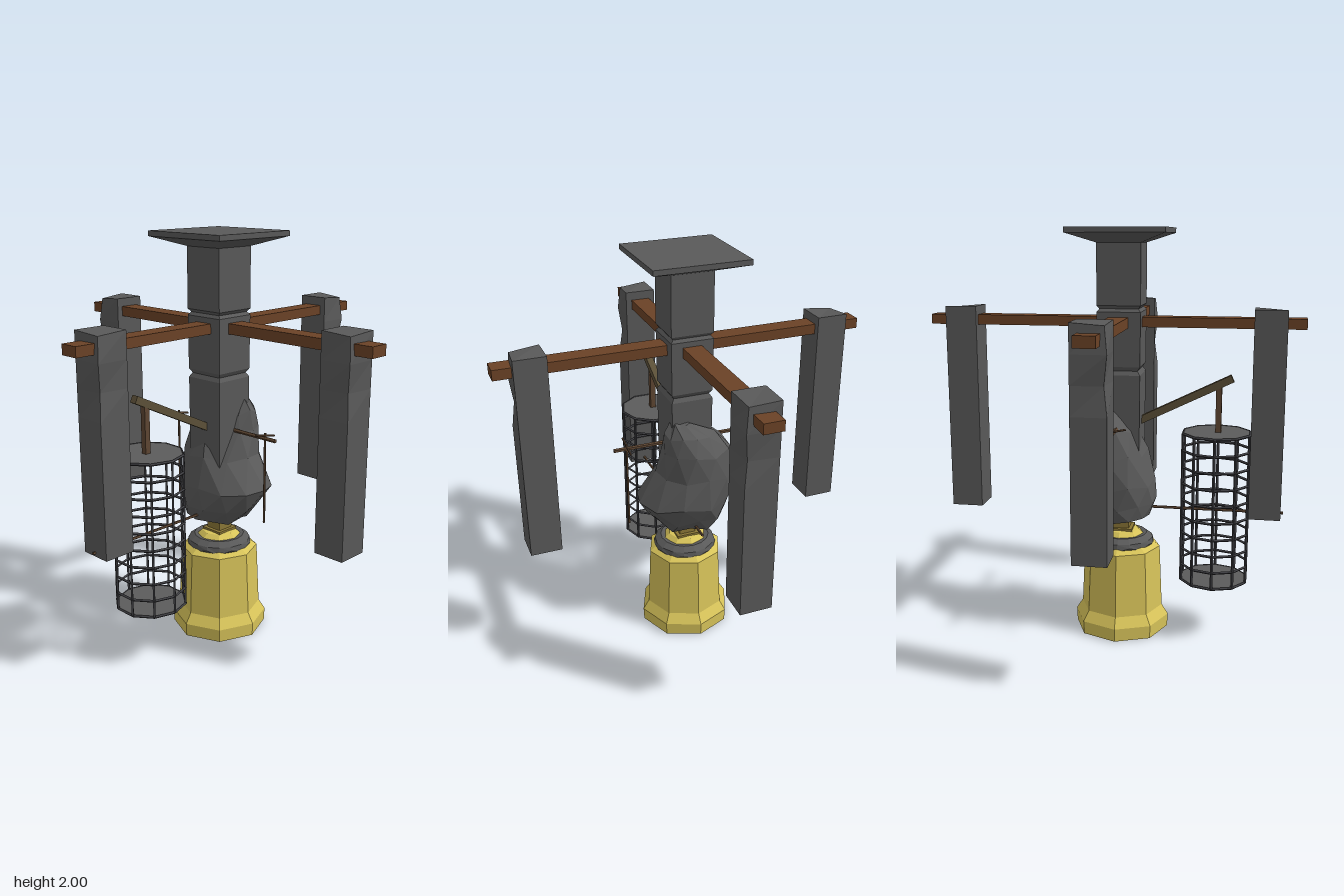
import * as THREE from 'three';

const mat = (color) => new THREE.MeshStandardMaterial({ color, flatShading: true, side: THREE.DoubleSide });
const stone = mat(0x595959), rockMat = mat(0x5a5a5a), iron = mat(0x3c3c40), plate = mat(0x5c5c5c);
const wood = mat(0x6b4226), oldWood = mat(0x5c5038), twig = mat(0x5e4632);
const brass = mat(0xd8c45a), darkBrass = mat(0x8a7636), green = mat(0x4caa14);
const AX = -0.005, AZ = 0.035; // central axis

export function createModel() {
  const model = new THREE.Group();

  const add = (name, geo, material, x = 0, y = 0, z = 0, parent = model) => {
    const m = new THREE.Mesh(geo, material);
    m.name = name;
    m.position.set(x, y, z);
    parent.add(m);
    return m;
  };
  const box = (name, w, h, d, material, x, y, z, parent) =>
    add(name, new THREE.BoxGeometry(w, h, d), material, x, y, z, parent);
  const lathe = (pts, sides, phi = 0) =>
    new THREE.LatheGeometry(pts.map(([r, y]) => new THREE.Vector2(r, y)), sides, phi);
  // straight bar between two points
  const bar = (name, a, b, r, material, parent, sides = 5) => {
    const A = new THREE.Vector3(...a), B = new THREE.Vector3(...b), dir = B.clone().sub(A);
    const m = add(name, new THREE.CylinderGeometry(r, r, dir.length(), sides), material, 0, 0, 0, parent);
    m.position.copy(A).add(B).multiplyScalar(0.5);
    m.quaternion.setFromUnitVectors(new THREE.Vector3(0, 1, 0), dir.normalize());
    return m;
  };

  // square post with grooves and a flared cap, profile given as half widths
  const postProfile = [
    [0, 0.75], [0.1, 0.75], [0.103, 1.31], [0.09, 1.33], [0.103, 1.35], [0.105, 1.61],
    [0.093, 1.625], [0.105, 1.64], [0.105, 1.93], [0.232, 1.975], [0.232, 2], [0, 2],
  ].map(([h, y]) => [h * Math.SQRT2, y]);
  add('post', lathe(postProfile, 4, Math.PI / 4), stone, AX, 0, AZ);

  // crossed beams
  box('crossBeamSide', 1.82, 0.05, 0.094, wood, 0, 1.56, 0.033);
  box('crossBeamFront', 0.094, 0.048, 1.82, wood, -0.003, 1.56, 0);

  // hanging stone pillars, each with one chipped corner
  const chippedPillar = (sx, sz) => {
    const g = new THREE.BoxGeometry(0.154, 1.01, 0.154, 1, 8, 1), p = g.attributes.position;
    for (let i = 0; i < p.count; i++) {
      const x = p.getX(i), y = p.getY(i), z = p.getZ(i);
      if (x * sx > 0 && z * sz > 0 && y > 0.2 && y < 0.3) p.setXYZ(i, x - sx * 0.015, y, z - sz * 0.015);
      if (x * sx > 0 && z * sz > 0 && y > 0.5) p.setXYZ(i, x - sx * 0.012, y - 0.012, z - sz * 0.012);
    }
    return g;
  };
  [[0.745, 0.032, 1, 1], [-0.75, 0.032, -1, 1], [-0.003, 0.745, 1, 1], [-0.003, -0.75, 1, -1]]
    .forEach(([x, z, sx, sz]) => add('pillar', chippedPillar(sx, sz), stone, x, 1.122, z));

  // faceted boulder around the post: y, centre x, centre z, radius x, radius z
  const rings = [
    [0.6, -0.03, 0.04, 0.16, 0.14], [0.67, -0.01, 0.02, 0.21, 0.19], [0.77, 0.015, 0.01, 0.24, 0.2],
    [0.92, -0.045, -0.02, 0.205, 0.185], [1.05, -0.03, -0.04, 0.17, 0.15],
    [1.14, 0.0, -0.055, 0.125, 0.095], [1.195, 0.05, -0.05, 0.05, 0.04],
  ];
  const N = 11, verts = [], faces = [];
  const wobble = (i, j) => Math.sin(i * 12.9 + j * 78.2) * 0.06;
  rings.forEach(([y, cx, cz, rx, rz], j) => {
    for (let i = 0; i < N; i++) {
      const a = ((i + (j % 2) / 2) / N) * Math.PI * 2, k = 1 + wobble(i, j);
      verts.push(cx + Math.sin(a) * rx * k, y + wobble(j, i) * 0.25, cz + Math.cos(a) * rz * k);
    }
  });
  for (let j = 0; j < rings.length - 1; j++) {
    for (let i = 0; i < N; i++) {
      const n = (i + 1) % N, a = j * N + i, b = j * N + n, c = a + N, d = b + N;
      if (j % 2) faces.push(a, b, d, a, d, c);
      else faces.push(a, b, c, b, d, c);
    }
  }
  const last = (rings.length - 1) * N;
  for (let i = 1; i < N - 1; i++) faces.push(0, i + 1, i, last, last + i, last + i + 1);
  const rockGeo = new THREE.BufferGeometry();
  rockGeo.setAttribute('position', new THREE.Float32BufferAttribute(verts, 3));
  rockGeo.setIndex(faces);
  rockGeo.computeVertexNormals();
  add('boulder', rockGeo, rockMat);

  // thin side perches with hooks and hanging rods
  for (const s of [1, -1]) {
    const perch = new THREE.Group();
    perch.name = s > 0 ? 'leftPerch' : 'rightPerch';
    model.add(perch);
    bar('perchBar', [s * 0.1, 1.06, AZ], [s * 0.362, 1.06, AZ], 0.01, twig, perch);
    bar('perchHook', [s * 0.297, 1.06, -0.03], [s * 0.297, 1.088, 0.1], 0.005, twig, perch);
    bar('hangingRod', [s * 0.297, 0.635, AZ], [s * 0.297, 1.085, AZ], 0.006, twig, perch);
  }
  bar('lowerRod', [AX, 0.635, -0.21], [AX, 0.635, 0.835], 0.007, twig, model);

  // arm and hanger for the cage
  const arm = box('cageArm', 0.036, 0.036, 0.53, oldWood, AX, 1.178, 0.335);
  arm.rotation.x = -Math.atan2(0.22, 0.45);
  box('cageHanger', 0.028, 0.23, 0.028, twig, AX, 1.14, 0.51);

  // round cage of bars and hoops
  const cage = new THREE.Group();
  cage.name = 'cage';
  cage.position.set(AX, 0, 0.503);
  model.add(cage);
  const bars = 10, R = 0.168, y0 = 0.28, y1 = 1.025;
  for (let i = 0; i < bars; i++) {
    const a = (i / bars) * Math.PI * 2, x = Math.cos(a) * R, z = Math.sin(a) * R;
    bar('cageBar', [x, y0, z], [x, y1, z], 0.007, iron, cage, 4);
  }
  for (let j = 0; j < 10; j++) {
    const hoop = add('cageHoop', new THREE.TorusGeometry(R, 0.007, 4, bars), iron, 0, y0 + (j / 9) * (y1 - y0), 0, cage);
    hoop.rotation.x = Math.PI / 2;
  }
  for (const y of [y0, y1])
    add('cagePlate', new THREE.CylinderGeometry(R, R, 0.008, bars, 1, false, Math.PI / 2), plate, 0, y, 0, cage);

  // hollow eight-sided bell base
  add('bellBase', lathe([
    [0, 0.13], [0.18, 0.11], [0.2, 0], [0.235, 0], [0.238, 0.065], [0.206, 0.115],
    [0.192, 0.43], [0.13, 0.475], [0.085, 0.515], [0, 0.525],
  ], 8), brass, AX, 0, AZ + 0.003);

  // collar with a ragged lower edge
  const collar = lathe([[0.15, 0.42], [0.162, 0.44], [0.155, 0.475], [0.125, 0.497], [0.09, 0.492]], 16);
  const cp = collar.attributes.position;
  for (let i = 0; i < cp.count; i++) {
    const tooth = Math.round((Math.atan2(cp.getX(i), cp.getZ(i)) / Math.PI) * 8) & 1;
    if (cp.getY(i) < 0.45 && tooth) cp.setY(i, cp.getY(i) + 0.018);
  }
  add('collar', collar, stone, AX, 0, AZ + 0.003);

  // stem blocks and the green knob
  box('stemFoot', 0.12, 0.025, 0.12, darkBrass, AX, 0.515, AZ);
  box('stem', 0.085, 0.1, 0.085, darkBrass, AX, 0.56, AZ);
  const knob = add('knob', new THREE.SphereGeometry(0.065, 10, 6), green, AX, 0.6, AZ);
  knob.scale.y = 0.7;

  return model;
}
